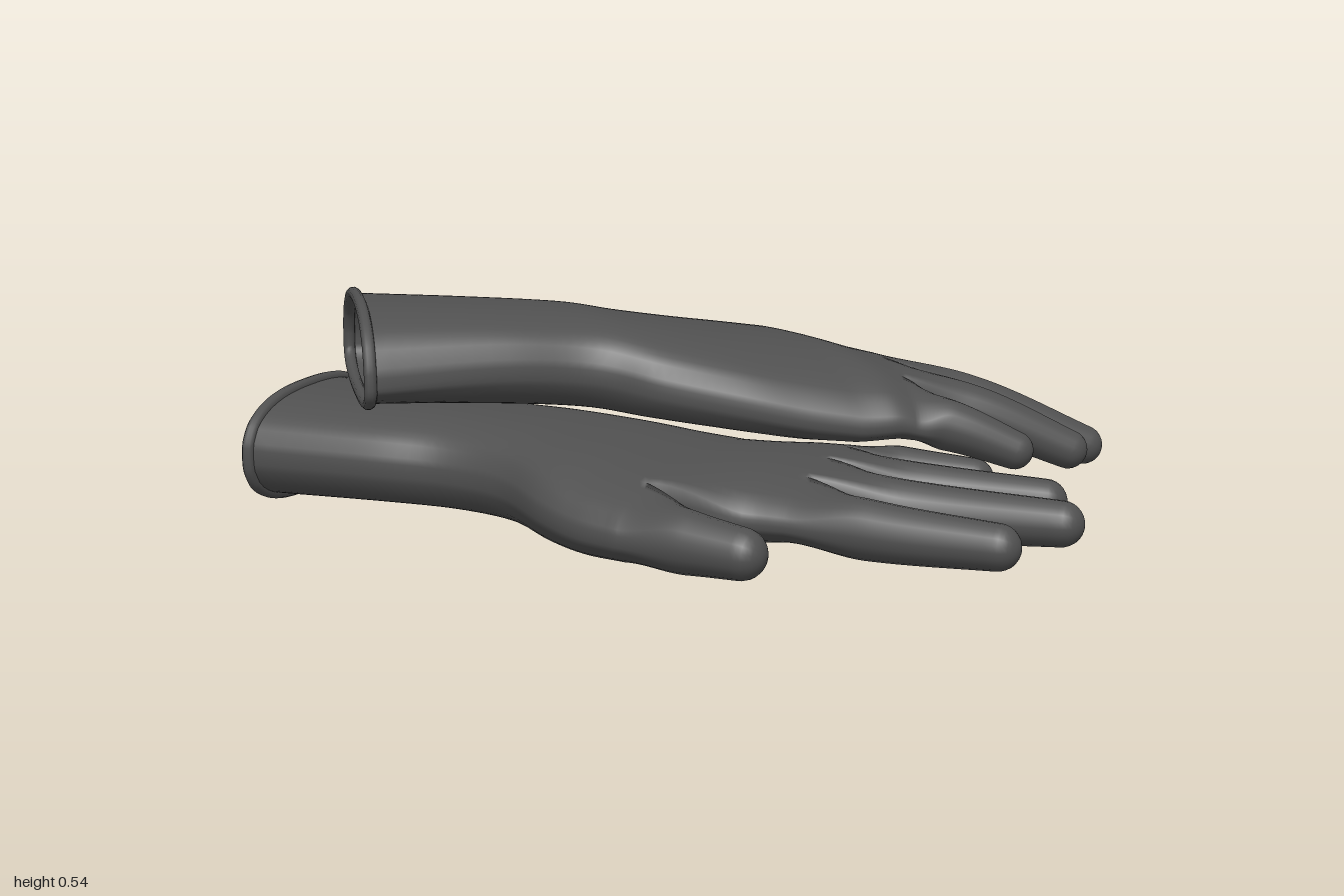
import * as THREE from 'three';
import { mergeVertices } from 'three/addons/utils/BufferGeometryUtils.js';

const material = new THREE.MeshStandardMaterial({ color: 0x505050, side: THREE.DoubleSide });
const FINGER = 6, PALM = 4 * FINGER, HAND = PALM + FINGER; // columns across each cross-section
const POWER = 2.5;

const vec = (x, y, z) => new THREE.Vector3(x, y, z);
const spline = (points) => new THREE.CatmullRomCurve3(points, false, 'catmullrom', 0.5);
const round = (v) => Math.max(0, 1 - Math.abs(v) ** POWER) ** (1 / POWER);

// Sweeps flattened oval rings through stations of
// [thumbSideX, thumbSideZ, farSideX, farSideZ, bottomY, middleY, topY, edgeDroop].
// Ring order: top from the thumb side, far edge, bottom back, thumb edge.
function ovalSweep(stations, columns) {
  const near = spline(stations.map((s) => vec(s[0], s[5], s[1])));
  const far = spline(stations.map((s) => vec(s[2], s[7], s[3])));
  const heights = spline(stations.map((s) => vec(s[4], s[6], 0)));
  const outline = [];
  const edge = 0.985, rim = round(edge);
  for (let j = 0; j <= columns; j++) {
    const v = edge * (2 * j / columns - 1);
    outline.push([v, round(v)]);
  }
  for (const k of [0.5, 0, -0.5]) outline.push([round(k * rim), k * rim]);
  const half = outline.map(([v, h]) => [-v, -h]);
  return (t) => {
    const a = near.getPoint(t), b = far.getPoint(t), { x: low, y: high } = heights.getPoint(t);
    return [...outline, ...half].map(([v, h]) => {
      const f = (v + 1) / 2;
      const y = a.y + h * (h > 0 ? high - a.y : a.y - low) - b.y * v * v;
      return vec(a.x + (b.x - a.x) * f, y, a.z + (b.z - a.z) * f);
    });
  };
}

// Round finger rings along [x, y, z, radius] points, closed by a rounded tip for t > 1.
function fingerSweep(points, hand) {
  const path = spline(points.map((p) => vec(p[0], p[1], p[2])));
  const radii = spline(points.map((p, i) => vec(p[3], i, 0)));
  return (t) => {
    const s = Math.min(t, 1), tip = Math.max(0, t - 1) * Math.PI / 2;
    const r = radii.getPoint(s).x, T = path.getTangent(s);
    const S = T.clone().cross(vec(0, 1, 0)).normalize();
    const U = S.clone().cross(T);
    const c = path.getPoint(s).addScaledVector(T, r * Math.sin(tip));
    return Array.from({ length: 20 }, (_, i) => {
      const a = (144 - 18 * i) * Math.PI / 180, w = r * Math.cos(tip);
      return c.clone().addScaledVector(S, hand * w * Math.cos(a)).addScaledVector(U, w * Math.sin(a));
    });
  };
}

// Cuts the columns a..b out of a ring and closes the cut sides with a web.
function subRing(ring, columns, a, b) {
  const top = (j) => ring[j], bottom = (j) => ring[2 * columns + 4 - j];
  const web = (p, q) => [0.25, 0.5, 0.75].map((k) => p.clone().lerp(q, k));
  const out = [];
  for (let j = a; j <= b; j++) out.push(top(j));
  out.push(...(b === columns ? ring.slice(columns + 1, columns + 4) : web(top(b), bottom(b))));
  for (let j = b; j >= a; j--) out.push(bottom(j));
  out.push(...(a === 0 ? ring.slice(-3) : web(bottom(a), top(a))));
  return out;
}

// Rings that start exactly at a root ring and ease into their own sweep.
function branch(root, sweep, steps, fadeLength) {
  const start = sweep(0);
  return steps.map((t) => {
    const fade = 1 - THREE.MathUtils.smoothstep(t, 0, fadeLength);
    return sweep(t).map((p, i) => p.addScaledVector(root[i].clone().sub(start[i]), fade));
  });
}

const range = (n, end = 1) => Array.from({ length: n + 1 }, (_, i) => end * i / n);
const fingerSteps = [...range(26), ...range(7).slice(1).map((t) => 1 + t)];

// One seamless skin: the sleeve splits into thumb and palm, the palm into four fingers.
function makeSkin({ hand, sleeve, palm, thumb, fingers }) {
  const parts = [];
  const sleeveRings = range(40).map(ovalSweep(sleeve, HAND));
  const split = sleeveRings.at(-1);
  const palmRings = branch(subRing(split, HAND, FINGER, HAND), ovalSweep(palm, PALM), range(14), 0.7);
  parts.push(sleeveRings, palmRings);
  parts.push(branch(subRing(split, HAND, 0, FINGER), fingerSweep(thumb, hand), fingerSteps, 0.6));
  fingers.forEach((points, i) => {
    const root = subRing(palmRings.at(-1), PALM, i * FINGER, (i + 1) * FINGER);
    parts.push(branch(root, fingerSweep(points, hand), fingerSteps, 0.4));
  });

  const points = [], index = [];
  for (const rings of parts) {
    const n = rings[0].length, base = points.length;
    points.push(...rings.flat());
    for (let i = 0; i < rings.length - 1; i++) {
      for (let j = 0; j < n; j++) {
        const a = base + i * n + j, b = base + i * n + (j + 1) % n;
        if (hand > 0) index.push(a, b, a + n, b, b + n, a + n);
        else index.push(a, a + n, b, b, a + n, b + n);
      }
    }
  }
  let geometry = new THREE.BufferGeometry().setFromPoints(points);
  geometry.setIndex(index);
  geometry = mergeVertices(geometry, 1e-4);
  geometry.computeVertexNormals();
  const mesh = new THREE.Mesh(geometry, material);
  mesh.name = 'gloveSkin';
  return mesh;
}

// Rolled bead around the cuff opening
function makeRim({ sleeve }) {
  const path = new THREE.CatmullRomCurve3(ovalSweep(sleeve, HAND)(0), true);
  const mesh = new THREE.Mesh(new THREE.TubeGeometry(path, 120, 0.015, 10, true), material);
  mesh.name = 'cuffRim';
  return mesh;
}

function makeGlove(name, shape) {
  const glove = new THREE.Group();
  glove.name = name;
  glove.add(makeSkin(shape), makeRim(shape));
  return glove;
}

// Upper glove, fingers drooping over the lower one; fingers run from index to little
const upper = {
  hand: 1,
  sleeve: [
    [-0.91, 0.41, -0.48, 0.80, 0.295, 0.36, 0.53, 0],
    [-0.72, 0.24, -0.29, 0.535, 0.27, 0.37, 0.51, 0],
    [-0.55, 0.07, -0.155, 0.36, 0.25, 0.36, 0.49, 0.01],
    [-0.50, -0.05, 0.0, 0.285, 0.23, 0.34, 0.465, 0.025],
    [-0.475, -0.20, 0.16, 0.18, 0.21, 0.322, 0.437, 0.045],
    [-0.44, -0.33, 0.28, 0.085, 0.20, 0.31, 0.415, 0.065],
    [-0.395, -0.44, 0.38, 0.0, 0.20, 0.30, 0.395, 0.075],
  ],
  palm: [
    [-0.24, -0.352, 0.38, 0.0, 0.20, 0.295, 0.39, 0.06],
    [-0.135, -0.41, 0.43, -0.05, 0.198, 0.286, 0.373, 0.055],
    [-0.06, -0.48, 0.455, -0.08, 0.192, 0.274, 0.353, 0.05],
    [0.01, -0.55, 0.475, -0.105, 0.185, 0.26, 0.333, 0.045],
  ],
  thumb: [[-0.318, 0.245, -0.40, 0.088], [-0.265, 0.175, -0.495, 0.08], [-0.22, 0.115, -0.57, 0.067], [-0.195, 0.07, -0.632, 0.054]],
  fingers: [
    [[0.067, 0.235, -0.495, 0.077], [0.21, 0.155, -0.66, 0.065], [0.357, 0.06, -0.817, 0.05]],
    [[0.183, 0.258, -0.385, 0.08], [0.40, 0.188, -0.56, 0.066], [0.61, 0.075, -0.735, 0.051]],
    [[0.30, 0.258, -0.27, 0.076], [0.48, 0.202, -0.41, 0.064], [0.658, 0.105, -0.55, 0.05]],
    [[0.417, 0.235, -0.16, 0.072], [0.525, 0.20, -0.228, 0.061], [0.635, 0.148, -0.30, 0.048]],
  ],
};

// Lower glove, lying palm up
const lower = {
  hand: -1,
  sleeve: [
    [-0.85, 0.84, -0.983, 0.28, 0.025, 0.155, 0.283, 0],
    [-0.555, 0.75, -0.70, 0.245, 0.028, 0.15, 0.273, 0],
    [-0.37, 0.685, -0.48, 0.22, 0.024, 0.143, 0.262, 0],
    [-0.19, 0.69, -0.30, 0.17, 0.018, 0.138, 0.257, 0],
    [-0.01, 0.77, -0.13, 0.10, 0.01, 0.128, 0.245, 0.005],
    [0.11, 0.80, -0.01, 0.045, 0.008, 0.118, 0.228, 0.01],
    [0.225, 0.805, 0.09, 0.0, 0.01, 0.112, 0.213, 0.01],
  ],
  palm: [
    [0.195, 0.64, 0.09, 0.0, 0.01, 0.112, 0.21, 0.01],
    [0.285, 0.555, 0.165, -0.06, 0.013, 0.108, 0.198, 0.01],
    [0.37, 0.50, 0.225, -0.12, 0.018, 0.106, 0.189, 0.01],
    [0.455, 0.47, 0.28, -0.17, 0.025, 0.104, 0.181, 0.01],
  ],
  thumb: [[0.215, 0.107, 0.72, 0.092], [0.31, 0.104, 0.718, 0.08], [0.405, 0.10, 0.715, 0.068], [0.503, 0.095, 0.708, 0.059]],
  fingers: [
    [[0.437, 0.10, 0.39, 0.08], [0.67, 0.085, 0.35, 0.067], [0.912, 0.08, 0.30, 0.054]],
    [[0.39, 0.10, 0.23, 0.08], [0.66, 0.085, 0.135, 0.068], [0.946, 0.085, 0.057, 0.054]],
    [[0.347, 0.10, 0.07, 0.08], [0.58, 0.085, -0.045, 0.065], [0.81, 0.08, -0.128, 0.053]],
    [[0.30, 0.10, -0.09, 0.075], [0.43, 0.088, -0.165, 0.062], [0.56, 0.08, -0.232, 0.05]],
  ],
};

export function createModel() {
  const model = new THREE.Group();
  model.name = 'pairOfGloves';
  model.add(makeGlove('upperGlove', upper), makeGlove('lowerGlove', lower));
  return model;
}
